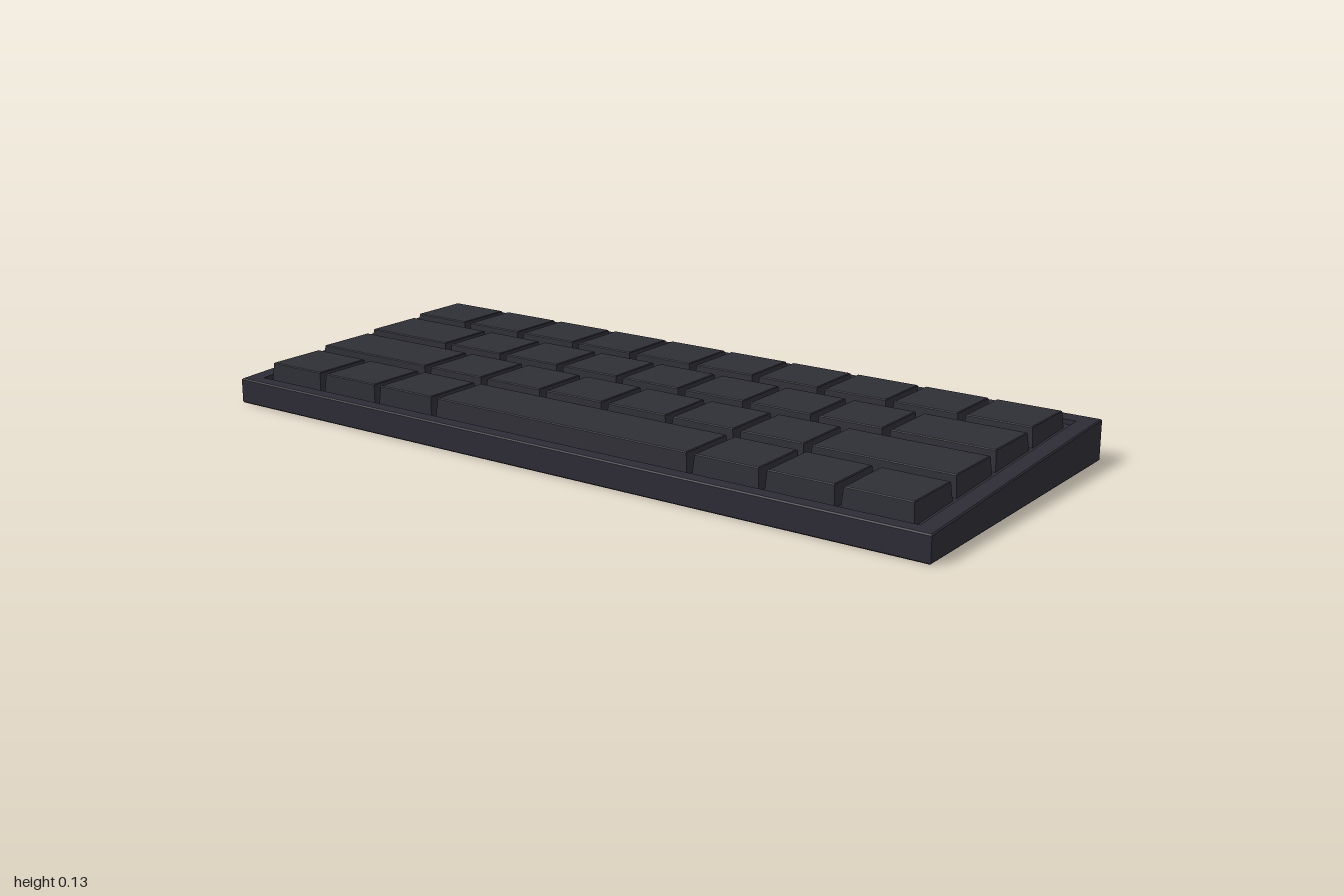
import * as THREE from 'three';

const caseMat = new THREE.MeshStandardMaterial({ name: 'charcoal case', color: 0x2d2c35 });
const keyMat = new THREE.MeshStandardMaterial({ name: 'charcoal keys', color: 0x2e2e36 });

// Sloping upper surface of the wedge case
const topY = (z) => 0.084 - z * 0.045;

// Stack of rectangular loops [x0, x1, z0, z1, height(z)], closed at both ends, flat faces
function loft(loops) {
  const pos = [];
  const rings = loops.map(([x0, x1, z0, z1, h]) =>
    [[x0, z1], [x1, z1], [x1, z0], [x0, z0]].map(([x, z]) => [x, h(z), z]));
  const quad = (a, b, c, d) => [a, b, c, a, c, d].forEach((p) => pos.push(...p));
  for (let r = 0; r < rings.length - 1; r++) {
    for (let i = 0; i < 4; i++) {
      const j = (i + 1) % 4;
      quad(rings[r][i], rings[r][j], rings[r + 1][j], rings[r + 1][i]);
    }
  }
  const first = rings[0], last = rings[rings.length - 1];
  quad(first[3], first[2], first[1], first[0]);
  quad(...last);
  const g = new THREE.BufferGeometry();
  g.setAttribute('position', new THREE.Float32BufferAttribute(pos, 3));
  g.computeVertexNormals();
  return g;
}

function addMesh(parent, name, geometry, material) {
  const mesh = new THREE.Mesh(geometry, material);
  mesh.name = name;
  parent.add(mesh);
}

// One tapered keycap with a thin bevel round its top
function keycap(x0, x1, zc, top) {
  const ring = (insetX, halfZ, y) => [x0 + insetX, x1 - insetX, zc - halfZ, zc + halfZ, y];
  return loft([
    ring(0.007, 0.084, (z) => topY(z) - 0.014),
    ring(0.011, 0.080, () => top - 0.002),
    ring(0.013, 0.078, () => top),
  ]);
}

export function createModel() {
  const model = new THREE.Group();
  model.name = 'keyboard';

  // Wedge case: chamfered shell, rim and sunken key bed
  const shell = (inset, h) => [-1 + inset, 1 - inset, -0.42 + inset, 0.42 - inset, h];
  const bed = (h) => [-0.955, 0.955, -0.375, 0.385, h];
  addMesh(model, 'case', loft([
    shell(0.003, () => 0),
    shell(0, () => 0.003),
    shell(0, (z) => topY(z) - 0.003),
    shell(0.003, topY),
    bed(topY),
    bed((z) => topY(z) - 0.012),
  ]), caseMat);

  // Key rows, back to front: centre z, top height, key widths in units
  const unit = 0.1885;
  const rows = [
    [-0.266, 0.129, Array(10).fill(1)],
    [-0.081, 0.122, [1.5, 1, 1, 1, 1, 1, 1, 1, 1.5]],
    [0.104, 0.115, [2, 1, 1, 1, 1, 1, 1, 2]],
    [0.289, 0.107, [1, 1, 1, 4, 1, 1, 1]],
  ];
  rows.forEach(([z, top, widths], r) => {
    const row = new THREE.Group();
    row.name = `keyRow${r + 1}`;
    let x = -5 * unit;
    widths.forEach((w) => {
      addMesh(row, w === 4 ? 'spaceBar' : 'key', keycap(x, x + w * unit, z, top), keyMat);
      x += w * unit;
    });
    model.add(row);
  });
  return model;
}
